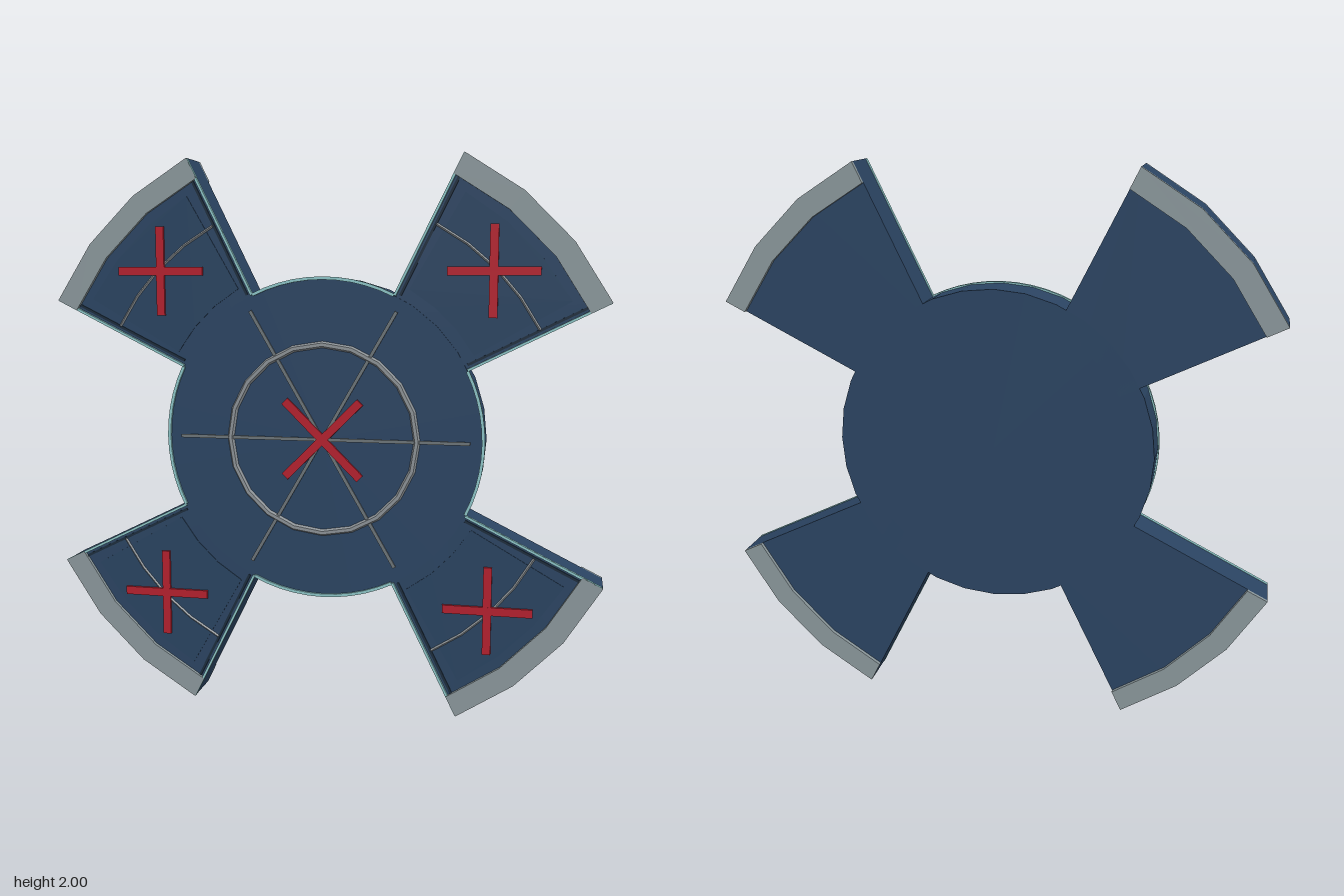
import * as THREE from 'three';

const mat = (color) => new THREE.MeshStandardMaterial({ color, flatShading: true });
const RAD = Math.PI / 180;
const HALF = 18.7 * RAD; // half angle of a wing
const HUB_R = 0.578, TIP_R = 1.115;

// Flat ring sector centred on +x, from angle -half to +half, between z0 and z1
function sector(r0, r1, half, n, z0, z1) {
  const pts = [];
  for (let i = 0; i <= n; i++) {
    const a = -half + (2 * half * i) / n;
    pts.push(new THREE.Vector2(r1 * Math.cos(a), r1 * Math.sin(a)));
  }
  for (let i = n; i >= 0; i--) {
    const a = -half + (2 * half * i) / n;
    pts.push(new THREE.Vector2(r0 * Math.cos(a), r0 * Math.sin(a)));
  }
  const geo = new THREE.ExtrudeGeometry(new THREE.Shape(pts), { depth: z1 - z0, bevelEnabled: false });
  return geo.translate(0, 0, z0);
}

export function createModel() {
  const model = new THREE.Group();
  model.name = 'fourWingStation';
  model.position.y = 1;

  const navy = mat(0x2b4462), panelBlue = mat(0x294360), dark = mat(0x1c2c3c);
  const rimGrey = mat(0x8a979b), lineGrey = mat(0x6c7478), ringGrey = mat(0x8c9296);
  const cyan = mat(0x8cc4c6), red = mat(0xb3202e);

  const add = (parent, name, geo, material) => {
    const mesh = new THREE.Mesh(geo, material);
    mesh.name = name;
    parent.add(mesh);
    return mesh;
  };
  // Two crossed bars
  const cross = (parent, name, x, y, length, angle, z) => {
    const g = new THREE.Group();
    g.name = name;
    g.position.set(x, y, z);
    g.rotation.z = angle;
    add(g, 'crossBar', new THREE.BoxGeometry(length, 0.03, 0.012), red);
    add(g, 'crossBar', new THREE.BoxGeometry(0.03, length, 0.011), red);
    parent.add(g);
  };

  // Central disc
  const hub = new THREE.CylinderGeometry(HUB_R, HUB_R, 0.136, 32).rotateX(Math.PI / 2);
  add(model, 'hub', hub, navy);

  // Ring and spokes on the face of the hub
  add(model, 'hubRing', new THREE.TorusGeometry(0.342, 0.012, 6, 20), ringGrey).position.z = 0.068;
  for (let i = 0; i < 3; i++) {
    const spoke = add(model, 'hubSpoke', new THREE.BoxGeometry(1.06, 0.012, 0.012), lineGrey);
    spoke.position.z = 0.068;
    spoke.rotation.z = (i * Math.PI) / 3;
  }
  cross(model, 'hubCross', 0, 0, 0.39, Math.PI / 4, 0.074);

  for (let k = 0; k < 4; k++) {
    const mid = Math.PI / 4 + (k * Math.PI) / 2;

    // Wing, built along +x and turned into place
    const wing = new THREE.Group();
    wing.name = 'wing';
    wing.rotation.z = mid;
    model.add(wing);
    add(wing, 'wingBody', sector(0.5, TIP_R, HALF, 3, -0.068, 0.064), navy);
    add(wing, 'wingPanel', sector(0.62, 1.0, HALF - 3.6 * RAD, 3, 0.06, 0.067), panelBlue);
    add(wing, 'frontRim', sector(1.035, TIP_R, HALF, 3, 0.064, 0.078), rimGrey);
    add(wing, 'backRim', sector(1.035, TIP_R, HALF, 3, -0.083, -0.068), rimGrey);

    // Thin arc across the panel
    const arc = new THREE.TorusGeometry(0.86, 0.005, 4, 4, 2 * (HALF - 1.5 * RAD));
    add(wing, 'wingArc', arc.rotateZ(-HALF + 1.5 * RAD), ringGrey).position.z = 0.067;

    // Edge trim and dark groove along both sides
    for (const side of [-1, 1]) {
      const edge = new THREE.Group();
      edge.name = 'wingEdge';
      edge.rotation.z = side * HALF;
      wing.add(edge);
      add(edge, 'edgeTrim', new THREE.BoxGeometry(0.535, 0.009, 0.016), cyan)
        .position.set(0.845, -side * 0.003, 0.069);
      add(edge, 'edgeGroove', new THREE.BoxGeometry(0.45, 0.009, 0.008), dark)
        .position.set(0.81, -side * 0.02, 0.064);
    }

    // Bright rim of the hub between two wings
    const gap = new THREE.Group();
    gap.name = 'hubEdge';
    gap.rotation.z = mid + Math.PI / 4;
    model.add(gap);
    add(gap, 'hubTrim', sector(0.571, 0.582, Math.PI / 4 - HALF, 10, 0.062, 0.076), cyan);

    cross(model, 'wingCross', 0.6 * Math.sign(Math.cos(mid)), 0.6 * Math.sign(Math.sin(mid)), 0.32, 0, 0.072);
  }
  return model;
}
